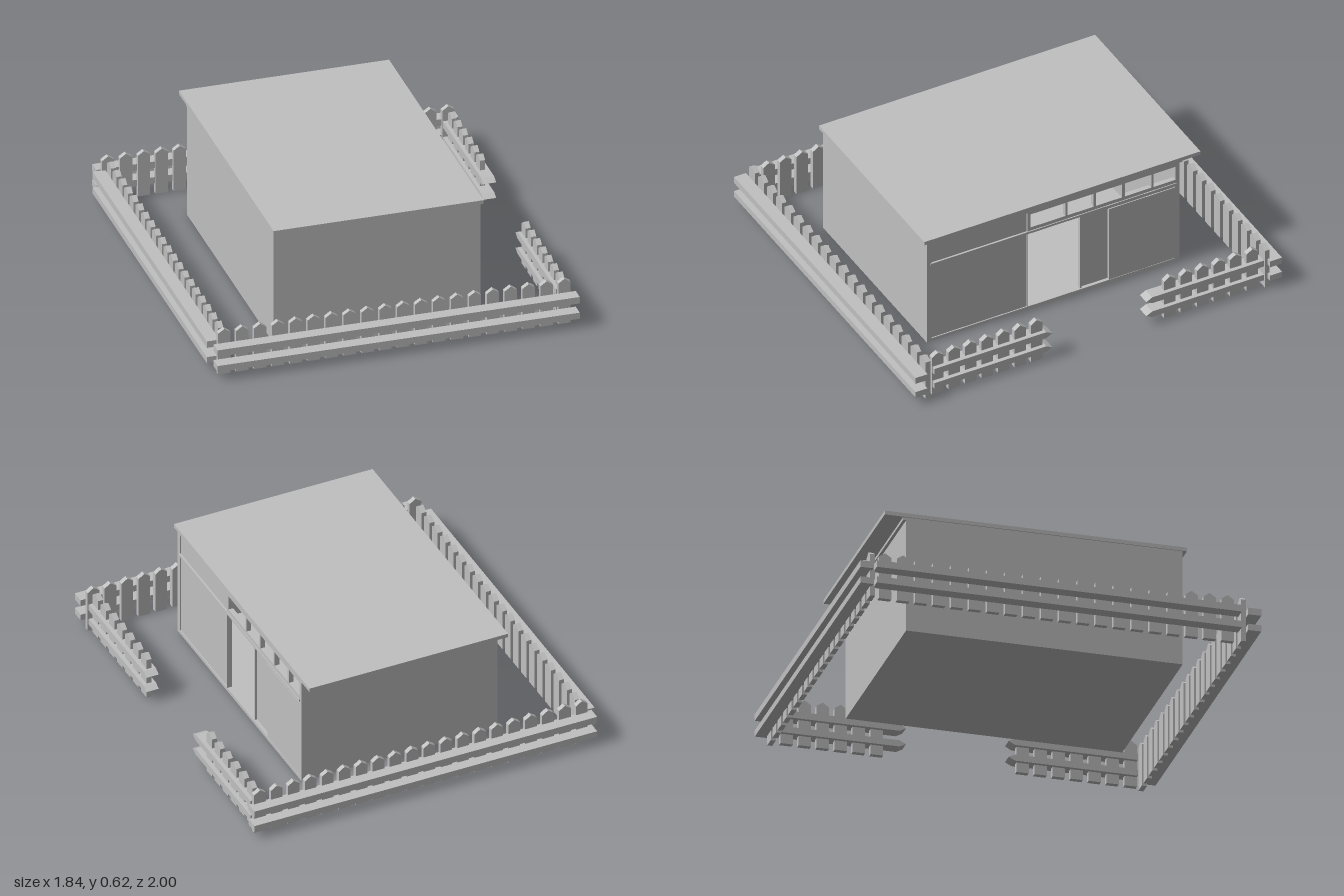
import * as THREE from 'three';

export function createModel() {
  const root = new THREE.Group();
  root.name = 'fencedCabin';
  const grey = new THREE.MeshStandardMaterial({ color: 0xc0c0c0 });
  grey.name = 'plain grey';

  const add = (parent, name, geometry) => {
    const mesh = new THREE.Mesh(geometry, grey);
    mesh.name = name;
    parent.add(mesh);
    return mesh;
  };
  const group = (parent, name) => {
    const g = new THREE.Group();
    g.name = name;
    parent.add(g);
    return g;
  };
  // Box given by its limits on each axis
  const box = (parent, name, x0, x1, y0, y1, z0, z1) => {
    const m = add(parent, name, new THREE.BoxGeometry(x1 - x0, y1 - y0, z1 - z0));
    m.position.set((x0 + x1) / 2, (y0 + y1) / 2, (z0 + z1) / 2);
    return m;
  };
  const outline = (points) => new THREE.Shape(points.map(([a, b]) => new THREE.Vector2(a, b)));
  const extrude = (shape, depth) => new THREE.ExtrudeGeometry(shape, { depth, bevelEnabled: false });
  // Outline drawn in (-z, y), pushed out along +x
  const extrudeX = (shape, depth) => extrude(shape, depth).rotateY(Math.PI / 2);

  // ---- Cabin ----
  const cabin = group(root, 'cabin');
  box(cabin, 'floor', -0.53, 0.51, 0.007, 0.025, -0.665, 0.715);
  box(cabin, 'roof', -0.535, 0.52, 0.605, 0.625, -0.773, 0.735);
  box(cabin, 'frontWall', -0.53, 0.51, 0.007, 0.605, 0.695, 0.715);
  box(cabin, 'backWall', -0.53, 0.51, 0.007, 0.605, -0.665, -0.645);
  box(cabin, 'farSideWall', -0.53, -0.51, 0.007, 0.605, -0.645, 0.695);
  box(cabin, 'eaveBeam', -0.53, 0.51, 0.59, 0.605, -0.68, -0.665);

  // Entrance wall: door opening, recessed bays and clerestory windows
  const rect = (z0, z1, y0, y1) => [[-z1, y0], [-z0, y0], [-z0, y1], [-z1, y1]];
  const wall = outline(rect(-0.645, 0.695, 0.007, 0.605));
  const windows = [[-0.04, 0.15], [-0.195, -0.052], [-0.35, -0.207], [-0.51, -0.365], [-0.643, -0.522]];
  const openings = [
    [0.167, 0.69, 0.025, 0.465], [0.167, 0.69, 0.475, 0.585],
    [-0.64, 0.163, 0.025, 0.465],
    ...windows.map(([a, b]) => [a, b, 0.495, 0.573]),
  ];
  openings.forEach((o) => wall.holes.push(outline(rect(...o))));
  add(cabin, 'entranceWall', extrudeX(wall, 0.025)).position.x = 0.485;
  box(cabin, 'lowerPanel', 0.487, 0.504, 0.025, 0.465, 0.165, 0.692);
  box(cabin, 'upperPanel', 0.487, 0.504, 0.475, 0.585, 0.165, 0.692);
  box(cabin, 'lintel', 0.505, 0.515, 0.464, 0.476, -0.645, 0.695);
  box(cabin, 'innerDoor', 0.482, 0.492, 0.025, 0.465, -0.29, -0.125);
  box(cabin, 'doorStile', 0.488, 0.503, 0.025, 0.465, -0.133, -0.123);
  box(cabin, 'outerDoor', 0.49, 0.508, 0.02, 0.448, -0.64, -0.28);
  box(cabin, 'doorRail', 0.485, 0.503, 0.448, 0.465, -0.64, -0.125);

  // ---- Furnishings inside ----
  const room = group(cabin, 'furnishings');
  box(room, 'seat', -0.42, -0.3, 0.06, 0.075, 0.15, 0.25);
  box(room, 'seatBack', -0.42, -0.3, 0.025, 0.145, 0.147, 0.16);
  box(room, 'lowTable', -0.42, -0.32, 0.035, 0.085, -0.04, 0.045);
  box(room, 'tableBox', -0.4, -0.35, 0.085, 0.115, -0.035, 0.035);
  box(room, 'cabinet', -0.45, -0.32, 0.025, 0.11, -0.14, -0.065);
  box(room, 'cabinetTop', -0.45, -0.32, 0.11, 0.15, -0.18, -0.06);
  const pole = add(room, 'lampPole', new THREE.CylinderGeometry(0.004, 0.004, 0.06, 8));
  pole.position.set(-0.38, 0.18, -0.12);
  const shade = add(room, 'lampShade', new THREE.TorusGeometry(0.022, 0.004, 6, 16).rotateY(Math.PI / 2));
  shade.position.set(-0.38, 0.235, -0.1);
  box(room, 'lampArm', -0.385, -0.375, 0.205, 0.213, -0.125, -0.06);

  // ---- Fence ----
  const fence = group(root, 'fence');
  const railHeights = [[0.052, 0.085], [0.135, 0.17]];
  const picketShape = outline([[-0.031, 0.002], [0.031, 0.002], [0.031, 0.222], [0, 0.243], [-0.031, 0.222]]);
  const picketZ = extrude(picketShape, 0.025);
  const picketX = extrudeX(picketShape, 0.026);

  // Front and back runs, rails outside the pickets
  for (const [name, railZ, zPicket] of [['front', 0.935, 0.907], ['back', -1, -0.945]]) {
    const run = group(fence, name + 'Fence');
    railHeights.forEach(([a, b]) => box(run, 'rail', -0.9, 0.92, a, b, railZ, railZ + 0.065));
    for (let i = 0; i < 20; i++) add(run, 'picket', picketZ).position.set(-0.845 + i * 0.09, 0, zPicket);
  }

  // Far side run
  const side = group(fence, 'sideFence');
  railHeights.forEach(([a, b]) => box(side, 'rail', -0.922, -0.858, a, b, -0.925, 0.897));
  for (let i = 0; i < 20; i++) add(side, 'picket', picketX).position.set(-0.858, 0, -0.865 + i * 0.09);

  // Two short runs with pointed rails beside the entrance gap
  for (const [name, end, tip, first, count] of [
    ['gateFrontFence', 0.887, 0.243, 0.317, 7],
    ['gateBackFence', -0.912, -0.27, -0.86, 6],
  ]) {
    const run = group(fence, name);
    const shoulder = tip + Math.sign(end) * 0.032;
    railHeights.forEach(([a, b]) => {
      const shape = outline([[-end, a], [-shoulder, a], [-tip, (a + b) / 2], [-shoulder, b], [-end, b]]);
      add(run, 'pointedRail', extrudeX(shape, 0.065)).position.x = 0.835;
    });
    for (let i = 0; i < count; i++) add(run, 'picket', picketX).position.set(0.853, 0, first + i * 0.09);
  }
  return root;
}
